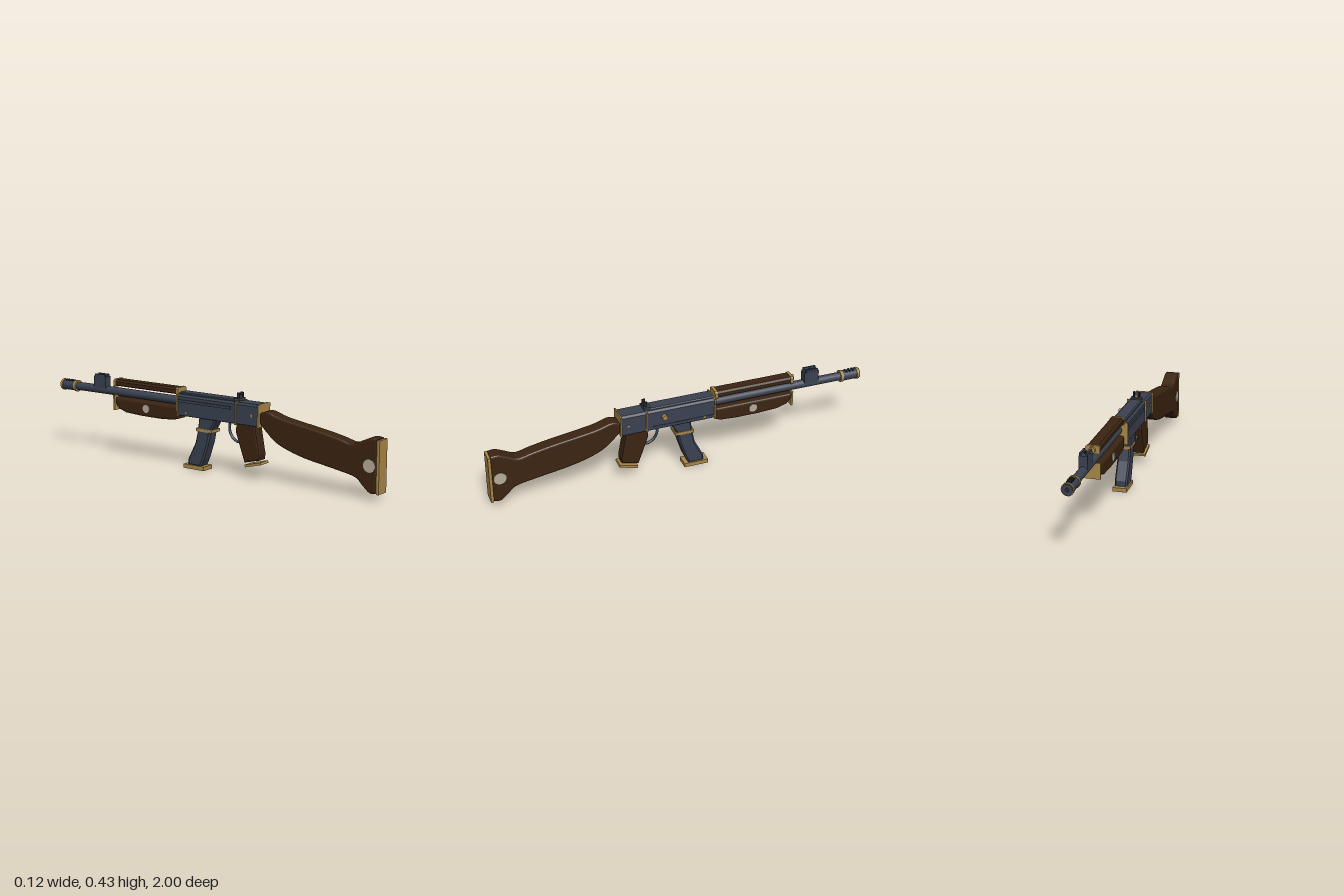
import * as THREE from 'three';

const mat = (name, color) => {
  const m = new THREE.MeshStandardMaterial({ color });
  m.name = name;
  return m;
};

export function createModel() {
  const steel = mat('blued steel', 0x3a4150);
  const dark = mat('dark steel', 0x23272f);
  const wood = mat('dark walnut', 0x3b2411);
  const brass = mat('brass', 0xa88748);
  const pearl = mat('pale inlay', 0xb5ab9a);

  const gun = new THREE.Group();
  gun.name = 'rifle';
  gun.position.x = -0.009; // the charging handle widens only one side

  const add = (name, geo, material, x = 0, y = 0, z = 0) => {
    const mesh = new THREE.Mesh(geo, material);
    mesh.name = name;
    mesh.position.set(x, y, z);
    gun.add(mesh);
    return mesh;
  };
  const box = (name, m, w, h, d, x, y, z) => add(name, new THREE.BoxGeometry(w, h, d), m, x, y, z);
  const rodZ = (name, m, r, len, y, z, sides = 24) =>
    add(name, new THREE.CylinderGeometry(r, r, len, sides).rotateX(Math.PI / 2), m, 0, y, z);
  const discX = (name, m, r, len, x, y, z) =>
    add(name, new THREE.CylinderGeometry(r, r, len, 24).rotateZ(Math.PI / 2), m, x, y, z);

  // Side profile of [z, y] points, extruded across the width with rounded edges
  const slab = (name, m, pts, width, bevel = 0.006, segments = 2) => {
    const shape = new THREE.Shape(pts.map(([z, y]) => new THREE.Vector2(-z, y)));
    const geo = new THREE.ExtrudeGeometry(shape, {
      depth: width - 2 * bevel, bevelEnabled: true, bevelThickness: bevel,
      bevelSize: bevel, bevelOffset: -bevel, bevelSegments: segments,
    });
    geo.translate(0, 0, -(width - 2 * bevel) / 2).rotateY(Math.PI / 2);
    return add(name, geo, m);
  };
  // Cross-section of [x, y] points, extruded along z
  const bar = (name, m, pts, z0, z1) => {
    const shape = new THREE.Shape(pts.map(([x, y]) => new THREE.Vector2(x, y)));
    const geo = new THREE.ExtrudeGeometry(shape, { depth: z1 - z0, bevelEnabled: false });
    return add(name, geo, m, 0, 0, z0);
  };
  const chamfered = (hw, y0, y1, cTop, cBottom) => [
    [-hw + cBottom, y0], [hw - cBottom, y0], [hw, y0 + cBottom], [hw, y1 - cTop],
    [hw - cTop, y1], [-hw + cTop, y1], [-hw, y1 - cTop], [-hw, y0 + cBottom],
  ];
  const smooth = (pts, n) =>
    new THREE.SplineCurve(pts.map((p) => new THREE.Vector2(...p))).getPoints(n).map((p) => [p.x, p.y]);

  // Stock with butt plate and round inlays
  const stockTop = smooth([[0.322, 0.338], [0.37, 0.352], [0.46, 0.327], [0.67, 0.294], [0.78, 0.273],
    [0.85, 0.258], [0.91, 0.283], [0.95, 0.299], [0.986, 0.296]], 36);
  const stockBottom = smooth([[0.986, 0.038], [0.95, 0.033], [0.91, 0.064], [0.866, 0.1], [0.754, 0.122],
    [0.567, 0.154], [0.433, 0.198], [0.364, 0.25], [0.322, 0.292]], 36);
  slab('stock', wood, [...stockTop, ...stockBottom], 0.072, 0.01, 3);
  box('buttPlate', brass, 0.072, 0.259, 0.014, 0, 0.1625, 0.993);

  // Receiver, top cover, bands and rivets
  bar('receiver', steel, chamfered(0.046, 0.273, 0.382, 0.01, 0.002), -0.176, 0.326);
  bar('topCover', steel, chamfered(0.033, 0.378, 0.391, 0.005, 0.001), -0.17, 0.17);
  for (const z of [-0.174, 0.19, 0.325]) {
    for (const s of [-1, 1]) box('receiverBandSide', brass, 0.007, 0.114, 0.008, s * 0.0488, 0.325, z);
    bar('receiverBandTop', brass, chamfered(0.048, 0.27, 0.386, 0.01, 0.002), z - 0.003, z + 0.003);
  }
  box('sideRail', steel, 0.007, 0.014, 0.33, -0.049, 0.35, -0.008);
  box('ejectionCover', steel, 0.004, 0.012, 0.33, 0.047, 0.288, -0.008);
  for (const s of [-1, 1]) {
    discX('stockInlay', pearl, 0.032, 0.004, s * 0.0362, 0.166, 0.947);
    discX('handguardInlay', pearl, 0.022, 0.006, s * 0.037, 0.279, -0.388);
    discX('rearRivet', brass, 0.007, 0.006, s * 0.048, 0.326, 0.288);
    discX('frontRivet', brass, 0.006, 0.006, s * 0.048, 0.29, -0.117);
  }

  // Charging handle on the left side
  discX('chargingStem', brass, 0.009, 0.02, 0.05, 0.343, 0.1);
  discX('chargingKnob', brass, 0.014, 0.019, 0.0605, 0.343, 0.1);

  // Rear sight
  box('rearSightBase', steel, 0.056, 0.014, 0.035, 0, 0.391, 0.18);
  for (const s of [-1, 1]) box('rearSightPost', dark, 0.008, 0.034, 0.016, s * 0.014, 0.408, 0.186);
  box('rearSightBead', brass, 0.012, 0.014, 0.012, 0, 0.404, 0.186);

  // Pistol grip and its cap
  slab('grip', wood, [[0.295, 0.276], [0.18, 0.276], [0.176, 0.228], [0.2, 0.16], [0.23, 0.078],
    [0.32, 0.1], [0.322, 0.13]], 0.062, 0.01, 2);
  box('gripCap', brass, 0.068, 0.013, 0.098, 0, 0.075, 0.285).rotation.x = -0.25;

  // Trigger and guard
  const tube = (name, m, r, pts) => add(name, new THREE.TubeGeometry(
    new THREE.CatmullRomCurve3(pts.map(([z, y]) => new THREE.Vector3(0, y, z))), 24, r, 8, false), m);
  tube('triggerGuard', steel, 0.007, [[0.205, 0.19], [0.18, 0.172], [0.145, 0.185], [0.122, 0.222], [0.124, 0.278]]);
  tube('trigger', brass, 0.006, [[0.18, 0.278], [0.172, 0.25], [0.182, 0.215]]);

  // Curved magazine, band and floor plate
  slab('magazine', steel, [[0.062, 0.278], [-0.05, 0.278], [-0.06, 0.2], [-0.074, 0.14], [-0.12, 0.05],
    [-0.12, 0.018], [-0.04, 0.018], [-0.02, 0.06], [0.01, 0.15], [0.02, 0.2], [0.032, 0.225]], 0.066, 0.008, 1);
  box('magazineBand', brass, 0.07, 0.016, 0.1, 0, 0.21, -0.016);
  box('magazineFloor', brass, 0.072, 0.021, 0.128, 0, 0.0105, -0.08);

  // Barrel and muzzle brake
  rodZ('barrel', steel, 0.022, 0.8, 0.341, -0.57);
  rodZ('muzzleBrake', steel, 0.027, 0.106, 0.341, -0.945);
  rodZ('muzzleRing', brass, 0.031, 0.014, 0.341, -0.897);
  rodZ('muzzleRing', brass, 0.031, 0.012, 0.341, -0.988);
  rodZ('muzzleFace', steel, 0.026, 0.006, 0.341, -0.997);
  rodZ('bore', dark, 0.012, 0.001, 0.341, -0.9996);
  for (let i = 0; i < 3; i++) box('muzzleSlot', dark, 0.026, 0.008, 0.01, 0, 0.366, -0.925 - i * 0.02);

  // Front sight block with two ears and a pin
  box('frontSightBlock', steel, 0.042, 0.068, 0.08, 0, 0.379, -0.72);
  for (const s of [-1, 1]) box('frontSightEar', steel, 0.009, 0.016, 0.068, s * 0.0155, 0.417, -0.72);
  box('frontSightPin', dark, 0.009, 0.01, 0.012, 0, 0.417, -0.72);

  // Upper handguard with brass caps and gas plug
  bar('upperHandguard', wood, chamfered(0.034, 0.378, 0.41, 0.01, 0.004), -0.6, -0.185);
  for (const z of [-0.604, -0.186]) {
    bar('upperHandguardCap', brass, chamfered(0.036, 0.372, 0.413, 0.01, 0.004), z - 0.007, z + 0.007);
  }
  rodZ('gasPlug', brass, 0.016, 0.02, 0.392, -0.613, 16);

  // Lower handguard with its end plate
  slab('lowerHandguard', wood, [[-0.182, 0.315], [-0.182, 0.25], [-0.22, 0.24], [-0.3, 0.235], [-0.42, 0.235],
    [-0.53, 0.241], [-0.58, 0.258], [-0.602, 0.285], [-0.602, 0.315]].reverse(), 0.072, 0.012, 3);
  box('lowerHandguardPlate', brass, 0.078, 0.08, 0.01, 0, 0.287, -0.606);

  const model = new THREE.Group();
  model.name = 'model';
  model.add(gun);
  return model;
}
